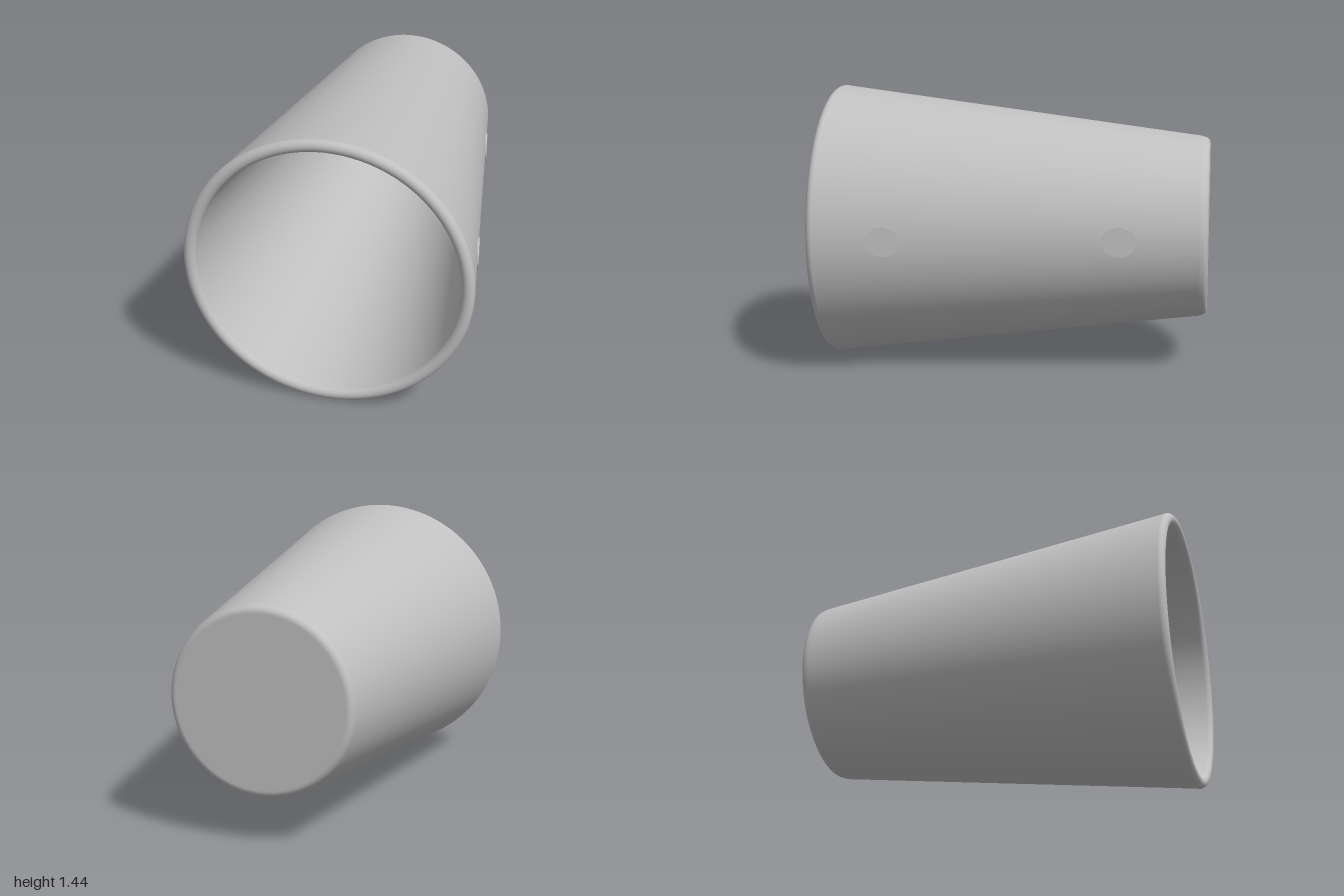
import * as THREE from 'three';

export function createModel() {
  const group = new THREE.Group();
  const grey = new THREE.MeshStandardMaterial({ color: 0xc0c0c0 });
  grey.name = 'plain grey';

  const centreY = 0.7225;
  const slope = 0.127; // radius gained per unit of length
  const outerRadius = (z) => 0.5985 + slope * z;
  const tilt = Math.atan(slope);

  // Cup profile (radius, z): outside base, outer wall, rounded rim, inner wall, floor
  const profile = [];
  const add = (r, z) => profile.push(new THREE.Vector2(r, z));
  const arc = (r, z, radius, from, to, steps = 8) => {
    for (let i = 0; i <= steps; i++) {
      const a = from + ((to - from) * i) / steps;
      add(r + radius * Math.cos(a), z + radius * Math.sin(a));
    }
  };
  add(0, -1);
  add(0.43, -1);
  arc(0.4375, -0.965, 0.035, -Math.PI / 2, -tilt);
  add(outerRadius(-0.955), -0.955);
  add(outerRadius(0.955), 0.955);
  arc(0.6905, 0.968, 0.032, -tilt, Math.PI - tilt, 14);
  add(0.657, 0.955);
  add(0.4225, -0.89);
  arc(0.3925, -0.9, 0.03, -tilt, -Math.PI / 2, 6);
  add(0.385, -0.93);
  add(0, -0.93);

  const cup = new THREE.Mesh(new THREE.LatheGeometry(profile, 96).rotateX(Math.PI / 2), grey);
  cup.name = 'cup';
  cup.position.y = centreY;
  group.add(cup);

  // Two shallow oval studs on the left side wall
  for (const [name, z] of [['frontStud', 0.61], ['backStud', -0.56]]) {
    const geometry = new THREE.CylinderGeometry(1, 1, 0.03, 48).rotateZ(-Math.PI / 2);
    geometry.scale(1, 0.076, 0.088);
    const stud = new THREE.Mesh(geometry, grey);
    stud.name = name;
    stud.rotation.y = tilt;
    stud.position.set(outerRadius(z) - 0.01, centreY, z);
    group.add(stud);
  }
  return group;
}
